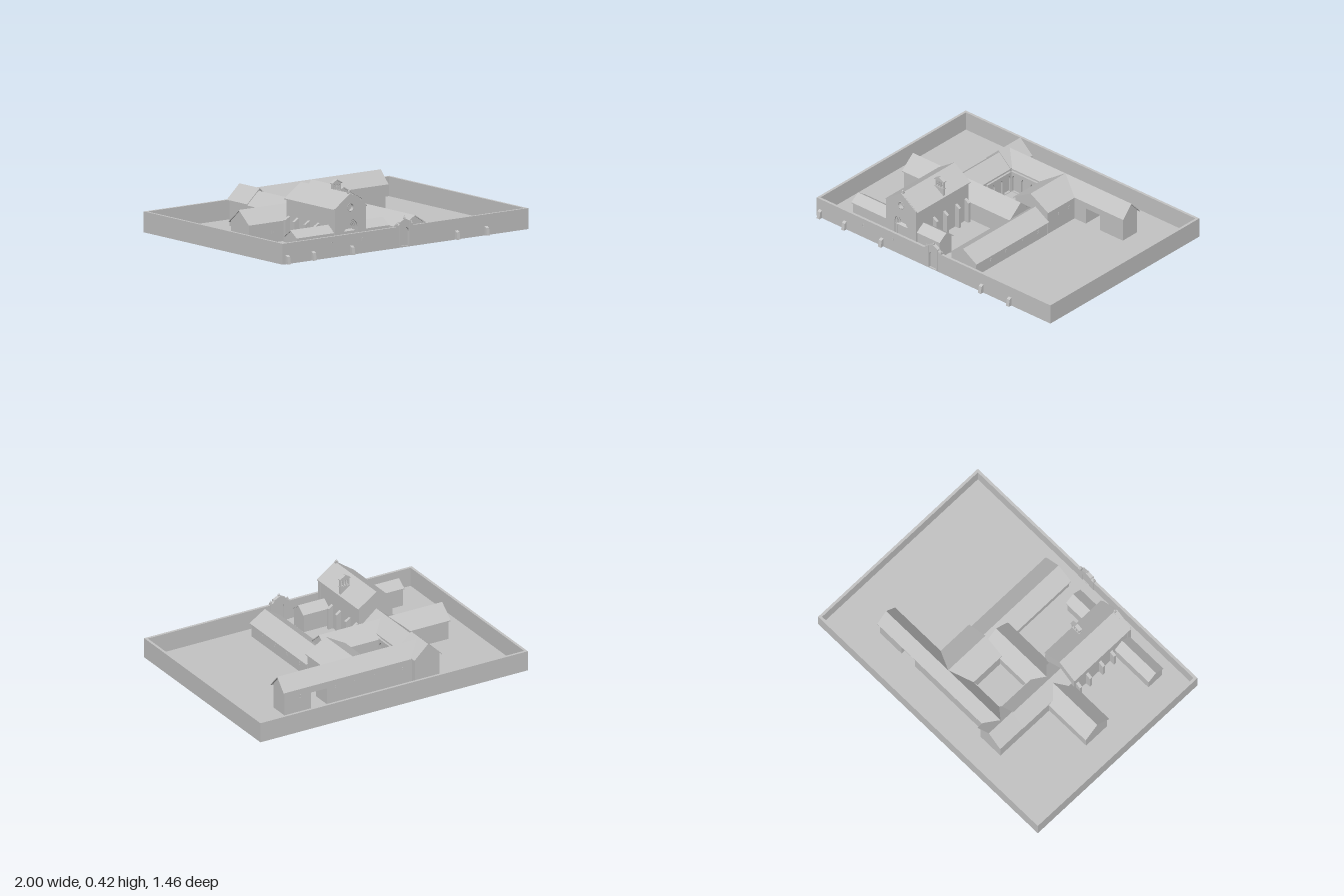
import * as THREE from 'three';

const stone = new THREE.MeshStandardMaterial({ color: 0xc4c4c4 });
stone.name = 'pale stone';
const FLOOR = 0.012;

export function createModel() {
  const root = new THREE.Group();
  root.name = 'walledAbbey';

  const add = (name, geo, x = 0, y = 0, z = 0, parent = root) => {
    const m = new THREE.Mesh(geo, stone);
    m.name = name;
    m.position.set(x, y, z);
    parent.add(m);
    return m;
  };
  // Box from its minimum and maximum corners
  const box = (name, x0, x1, y0, y1, z0, z1, parent = root) =>
    add(name, new THREE.BoxGeometry(x1 - x0, y1 - y0, z1 - z0),
      (x0 + x1) / 2, (y0 + y1) / 2, (z0 + z1) / 2, parent);
  const poly = (pts) => new THREE.Shape(pts.map(([x, y]) => new THREE.Vector2(x, y)));
  const extrude = (shape, depth) =>
    new THREE.ExtrudeGeometry(shape, { depth, bevelEnabled: false, curveSegments: 10 });
  // Round-headed opening centred on x, from y0 up to the crown
  const arch = (x, r, y0, top, Type = THREE.Path) => {
    const p = new Type();
    p.moveTo(x - r, y0);
    p.lineTo(x + r, y0);
    p.lineTo(x + r, top - r);
    p.absarc(x, top - r, r, 0, Math.PI, false);
    p.lineTo(x - r, y0);
    return p;
  };
  const ring = (x, r, w, y0, top) => {
    const s = arch(x, r, y0, top, THREE.Shape);
    s.holes.push(arch(x, r - w, y0 + 0.0005, top - w));
    return s;
  };

  // Gabled building: axis of the ridge, ridge offset c, roof half-width r,
  // roof span a..b, optional wall span and doorway gap [from, to, height]
  const gabled = (name, axis, c, r, a, b, eave, ridge, { lip = 0.012, end0 = 0.008, end1 = 0.008, gap } = {}) => {
    const g = new THREE.Group();
    g.name = name;
    const t = 0.007, w = r - lip, wallTop = ridge - (ridge - eave) * w / r - t / 2;
    const prism = (base) => poly([[-w, base], [w, base], [w, wallTop], [0, ridge - t / 2], [-w, wallTop]]);
    const wall = (from, to, base) => add(name + 'Walls', extrude(prism(base), to - from), 0, 0, from, g);
    const w0 = a + end0, w1 = b - end1;
    if (gap) {
      wall(w0, gap[0], FLOOR);
      wall(gap[0], gap[1], gap[2]);
      wall(gap[1], w1, FLOOR);
    } else wall(w0, w1, FLOOR);
    add(name + 'Roof', extrude(poly([[-r, eave - t], [0, ridge - t], [r, eave - t],
      [r, eave], [0, ridge], [-r, eave]]), b - a), 0, 0, a, g);
    if (axis === 'x') {
      g.rotation.y = Math.PI / 2;
      g.position.z = c;
    } else g.position.x = c;
    root.add(g);
    return g;
  };

  // Ground and perimeter wall
  box('ground', -1, 1, 0.004, FLOOR, -0.73, 0.704);
  box('groundDrain', -0.14, -0.085, 0, 0.005, -0.105, -0.095);
  const T = 0.018;
  box('frontWallLeft', 0.036, 1, 0.005, 0.14, 0.704 - T, 0.704);
  box('frontWallRight', -1, -0.046, 0.005, 0.14, 0.704 - T, 0.704);
  box('backWall', -1, 1, 0.005, 0.14, -0.73, -0.73 + T);
  for (const s of [-1, 1])
    box('sideWall', s < 0 ? -1 : 1 - T, s < 0 ? -1 + T : 1, 0.005, 0.14, -0.73, 0.704);

  // Sloped buttresses and loopholes on the front wall
  for (const x of [-0.965, -0.755, -0.44, 0.415, 0.655]) {
    const m = add('wallButtress', extrude(poly([[0, 0.006], [0.03, 0.006], [0.022, 0.054], [0, 0.066]]), 0.024), x + 0.012, 0, 0.7);
    m.rotation.y = -Math.PI / 2;
  }
  for (const x of [-0.6, -0.35]) {
    const s = arch(x, 0.007, 0.083, 0.105, THREE.Shape);
    s.holes.push(arch(x, 0.004, 0.086, 0.102));
    add('loophole', extrude(s, 0.003), 0, 0, 0.703);
  }

  // Gate with a curved crest, doors and finials
  const gate = new THREE.Shape();
  gate.moveTo(-0.075, FLOOR);
  gate.lineTo(0.065, FLOOR);
  gate.lineTo(0.065, 0.15);
  gate.quadraticCurveTo(0.04, 0.145, 0.036, 0.17);
  gate.lineTo(-0.005, 0.19);
  gate.lineTo(-0.046, 0.17);
  gate.quadraticCurveTo(-0.05, 0.145, -0.075, 0.15);
  gate.closePath();
  gate.holes.push(arch(-0.005, 0.03, FLOOR + 0.001, 0.135));
  add('gateFront', extrude(gate, 0.024), 0, 0, 0.683);
  box('gateDoors', -0.04, 0.03, FLOOR, 0.137, 0.689, 0.695);
  for (const x of [-0.046, 0.036]) box('gatePilaster', x - 0.004, x + 0.004, FLOOR, 0.17, 0.7, 0.71);
  for (const [x, y] of [[-0.067, 0.149], [0.057, 0.149], [-0.005, 0.186]]) {
    box('finialBlock', x - 0.006, x + 0.006, y - 0.004, y + 0.008, 0.69, 0.704);
    add('finialCone', new THREE.ConeGeometry(0.006, 0.016, 8), x, y + 0.014, 0.697);
  }

  // Church: nave, chancel, rear range and cross range
  gabled('nave', 'z', -0.366, 0.137, 0.09, 0.598, 0.288, 0.38, { end1: 0.02 });
  gabled('chancel', 'z', -0.369, 0.101, -0.345, 0.1, 0.175, 0.258, { end0: 0, end1: 0 });
  gabled('rearRange', 'z', -0.367, 0.103, -0.545, -0.335, 0.182, 0.277, { end0: 0.014 });
  gabled('crossRange', 'x', 0, 0.105, -0.802, 0.12, 0.147, 0.234);
  gabled('frontRange', 'x', 0.529, 0.066, -0.8, -0.045, 0.135, 0.18, { lip: 0.006 });

  // Church facade with stepped portal and round window
  const facade = poly([[-0.495, FLOOR], [-0.24, FLOOR], [-0.24, 0.292], [-0.3675, 0.381], [-0.495, 0.292]]);
  const px = -0.367;
  facade.holes.push(arch(px, 0.055, FLOOR + 0.001, 0.212));
  facade.holes.push(new THREE.Path().absarc(px, 0.29, 0.025, 0, Math.PI * 2, false));
  add('facade', extrude(facade, 0.025), 0, 0, 0.578);
  [0.055, 0.045, 0.036].forEach((r, i) =>
    add('portalArch', extrude(ring(px, r, 0.01, FLOOR, 0.157 + r), 0.016 - i * 0.005), 0, 0, 0.578));
  add('roundWindowFrame', new THREE.TorusGeometry(0.025, 0.003, 6, 24), px, 0.29, 0.602);
  box('gablePinnacle', px - 0.009, px + 0.009, 0.372, 0.387, 0.577, 0.595);
  add('pinnacleBall', new THREE.SphereGeometry(0.008, 10, 8), px, 0.39, 0.586);

  // Nave buttresses
  for (const z of [0.125, 0.215, 0.33, 0.43]) for (const s of [-1, 1]) {
    const m = add('naveButtress', extrude(poly([[0, FLOOR], [0.036, FLOOR], [0.036, 0.155], [0, 0.178]]), 0.02),
      px + s * 0.124, 0, z + s * 0.01);
    m.rotation.y = s > 0 ? 0 : Math.PI;
    m.position.z = z - s * 0.01;
  }

  // Bell gable on the nave roof
  const bx = -0.272;
  const belfry = poly([[bx - 0.034, 0.27], [bx + 0.034, 0.27], [bx + 0.034, 0.398], [bx, 0.416], [bx - 0.034, 0.398]]);
  for (const dx of [-0.019, 0, 0.019]) belfry.holes.push(arch(bx + dx, 0.007, 0.352, 0.39));
  add('bellGable', extrude(belfry, 0.018), 0, 0, 0.324);
  add('bellGableRoof', extrude(poly([[bx - 0.04, 0.394], [bx, 0.415], [bx + 0.04, 0.394],
    [bx + 0.04, 0.4], [bx, 0.422], [bx - 0.04, 0.4]]), 0.026), 0, 0, 0.32);
  box('bellSill', bx - 0.037, bx + 0.037, 0.342, 0.348, 0.321, 0.345);
  for (const dx of [-0.019, 0, 0.019])
    add('bell', new THREE.CylinderGeometry(0.002, 0.005, 0.012, 8), bx + dx, 0.374, 0.333);

  // Domestic ranges
  gabled('backRange', 'x', -0.425, 0.08, -0.36, 0.69, 0.177, 0.263, { end1: 0.014, gap: [0.36, 0.48, 0.125] });
  gabled('middleBlock', 'z', 0.125, 0.15, -0.425, -0.09, 0.177, 0.263);
  gabled('eastRange', 'z', 0.16, 0.115, -0.1, 0.6, 0.105, 0.177, { lip: 0.01 });

  // Cloister arcades along two sides of the court
  const arcade = (len, n) => {
    const s = poly([[0, FLOOR], [len, FLOOR], [len, 0.16], [0, 0.16]]);
    const step = len / n;
    for (let i = 0; i < n; i++)
      s.holes.push(arch(step * (i + 0.5), step * 0.4, FLOOR + 0.004, 0.14));
    return extrude(s, 0.014);
  };
  add('northArcade', arcade(0.235, 3), -0.262, 0, -0.352);
  add('westArcade', arcade(0.225, 3), -0.272, 0, -0.11).rotation.y = Math.PI / 2;

  // Small framed windows; yaw turns them onto side walls
  const windowAt = (x, y, z, yaw) => {
    const s = poly([[-0.007, -0.01], [0.007, -0.01], [0.007, 0.01], [-0.007, 0.01]]);
    s.holes.push(poly([[-0.004, -0.007], [0.004, -0.007], [0.004, 0.007], [-0.004, 0.007]]));
    add('windowFrame', extrude(s, 0.003), x, y, z).rotation.y = yaw;
  };
  for (const z of [-0.3, -0.2]) windowAt(0.262, 0.12, z, Math.PI / 2);
  for (const z of [0, 0.15, 0.3, 0.45]) windowAt(0.264, 0.07, z, Math.PI / 2);
  for (const x of [-0.2, 0, 0.15, 0.3, 0.56]) windowAt(x, 0.12, -0.492, Math.PI);
  for (const x of [-0.7, -0.6]) windowAt(x, 0.08, 0.092, 0);

  return root;
}
